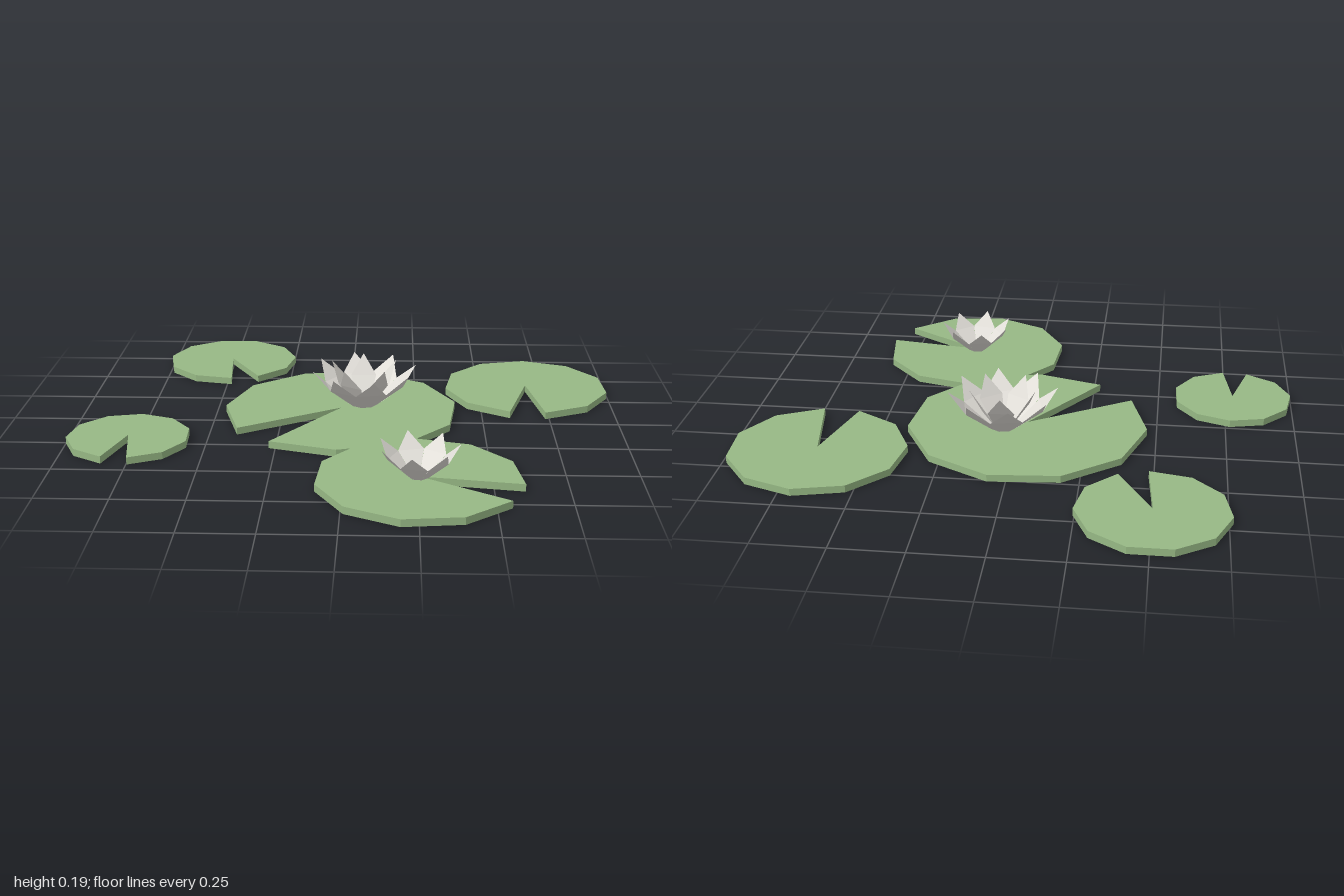
import * as THREE from 'three';

const THICK = 0.026;
const padGreen = new THREE.MeshStandardMaterial({ name: 'padGreen', color: 0x97b985 });
const petalWhite = new THREE.MeshStandardMaterial({ name: 'petalWhite', color: 0xe2dfd9, side: THREE.DoubleSide });
padGreen.flatShading = petalWhite.flatShading = true;

// Ten-segment disc with a 24 degree wedge cut to its centre; notch angle runs from +x towards +z
function makePad(name, x, z, radius, notch) {
  const shape = new THREE.Shape().moveTo(0, 0);
  for (let i = 0; i <= 10; i++) {
    const a = THREE.MathUtils.degToRad(notch + 12 + i * 33.6);
    shape.lineTo(radius * Math.cos(a), radius * Math.sin(a));
  }
  shape.closePath();
  const geo = new THREE.ExtrudeGeometry(shape, { depth: THICK, bevelEnabled: false });
  geo.rotateX(Math.PI / 2).translate(0, THICK, 0);
  const mesh = new THREE.Mesh(geo, padGreen);
  mesh.name = name;
  mesh.position.set(x, 0, z);
  return mesh;
}

// Pointed kite petal: narrow base, wide shoulder, sharp tip, leaning out along +x
function petalGeometry({ base, baseHalf, shoulder, shoulderY, half, tip, tipY }) {
  const points = [
    base, 0, baseHalf, base, 0, -baseHalf,
    shoulder, shoulderY, half, shoulder, shoulderY, -half,
    tip, tipY, 0,
  ];
  const geo = new THREE.BufferGeometry();
  geo.setAttribute('position', new THREE.Float32BufferAttribute(points, 3));
  geo.setIndex([0, 2, 1, 1, 2, 3, 2, 4, 3]);
  const flat = geo.toNonIndexed();
  flat.computeVertexNormals();
  return flat;
}

// Ring of equal petals; start is the angle of the first one from +x towards +z
function makeRing(name, count, start, profile) {
  const ring = new THREE.Group();
  ring.name = name;
  const geo = petalGeometry(profile);
  for (let i = 0; i < count; i++) {
    const petal = new THREE.Mesh(geo, petalWhite);
    petal.name = 'petal';
    petal.rotation.y = -THREE.MathUtils.degToRad(start + (i * 360) / count);
    ring.add(petal);
  }
  return ring;
}

function makeFlower(name, x, z, rings) {
  const flower = new THREE.Group();
  flower.name = name;
  flower.position.set(x, THICK, z);
  flower.add(...rings);
  return flower;
}

export function createModel() {
  const group = new THREE.Group();
  group.name = 'waterLilies';

  // Floating pads
  group.add(
    makePad('mainPad', -0.029, -0.083, 0.437, 136),
    makePad('frontPad', 0.254, 0.587, 0.353, 21),
    makePad('leftPad', 0.686, -0.366, 0.318, 93),
    makePad('backPad', -0.504, -0.681, 0.261, 73.3),
    makePad('rightPad', -0.78, 0.232, 0.221, 93.6),
  );

  // Large double-ring blossom
  group.add(makeFlower('largeFlower', 0.055, -0.128, [
    makeRing('outerPetals', 8, -12, {
      base: 0.045, baseHalf: 0.019, shoulder: 0.138, shoulderY: 0.078, half: 0.057, tip: 0.2, tipY: 0.145,
    }),
    makeRing('innerPetals', 5, -92, {
      base: 0.027, baseHalf: 0.02, shoulder: 0.085, shoulderY: 0.088, half: 0.048, tip: 0.127, tipY: 0.162,
    }),
  ]));

  // Small single-ring blossom
  group.add(makeFlower('smallFlower', 0.252, 0.587, [
    makeRing('petals', 7, -2.5, {
      base: 0.031, baseHalf: 0.015, shoulder: 0.094, shoulderY: 0.06, half: 0.045, tip: 0.139, tipY: 0.114,
    }),
  ]));

  return group;
}
